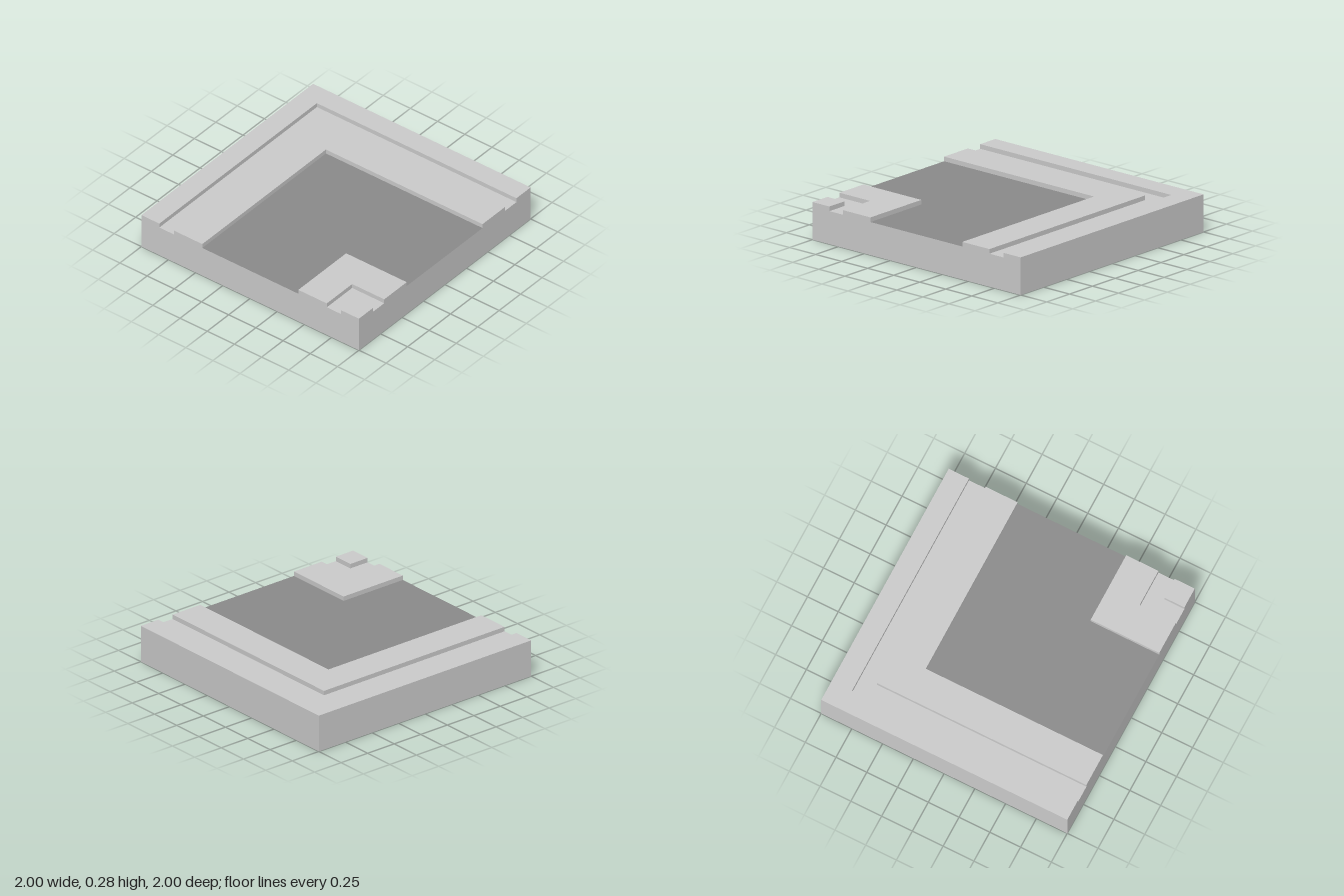
import * as THREE from 'three';

const FLOOR = 0.25, TOP = 0.285;
// Nested square bands share the front right corner (-1, z = 1)
const EDGES = [1, 0.835, 0.7, 0.44, -0.443, -0.705, -0.837, -1];

const grey = new THREE.MeshStandardMaterial({ color: 0xcccccc });
const asphalt = new THREE.MeshStandardMaterial({ color: 0x8b8b8b });
const pale = new THREE.MeshStandardMaterial({ color: 0xefefef });

// L-shaped outline between two nested squares; a full square when inner is -1
function bandShape(outer, inner) {
  const pts = inner <= -1
    ? [[-1, -1], [outer, -1], [outer, outer], [-1, outer]]
    : [[inner, -1], [outer, -1], [outer, outer], [-1, outer], [-1, inner], [inner, inner]];
  return new THREE.Shape(pts.map(([x, y]) => new THREE.Vector2(x, y)));
}

export function createModel() {
  const group = new THREE.Group();
  const add = (name, geometry, material, y) => {
    const mesh = new THREE.Mesh(geometry, material);
    mesh.name = name;
    mesh.position.y = y;
    group.add(mesh);
  };

  // Base block, its top face left out because the bands cover it
  const base = new THREE.BoxGeometry(2, FLOOR, 2);
  const index = Array.from(base.index.array);
  index.splice(12, 6);
  base.setIndex(index);
  base.clearGroups();
  add('base', base, grey, FLOOR / 2);

  // Bands from the outer corner inward: raised slabs alternate with sunken floors
  const names = ['outerKerb', 'outerGutter', 'outerPavement', 'road',
    'innerPavement', 'innerGutter', 'innerKerb'];
  names.forEach((name, i) => {
    const shape = bandShape(EDGES[i], EDGES[i + 1]);
    const raised = i % 2 === 0;
    const geometry = raised
      ? new THREE.ExtrudeGeometry(shape, { depth: TOP - FLOOR, bevelEnabled: false })
      : new THREE.ShapeGeometry(shape);
    geometry.rotateX(-Math.PI / 2);
    add(name, geometry, raised ? grey : name === 'road' ? asphalt : pale, FLOOR);
  });

  return group;
}
